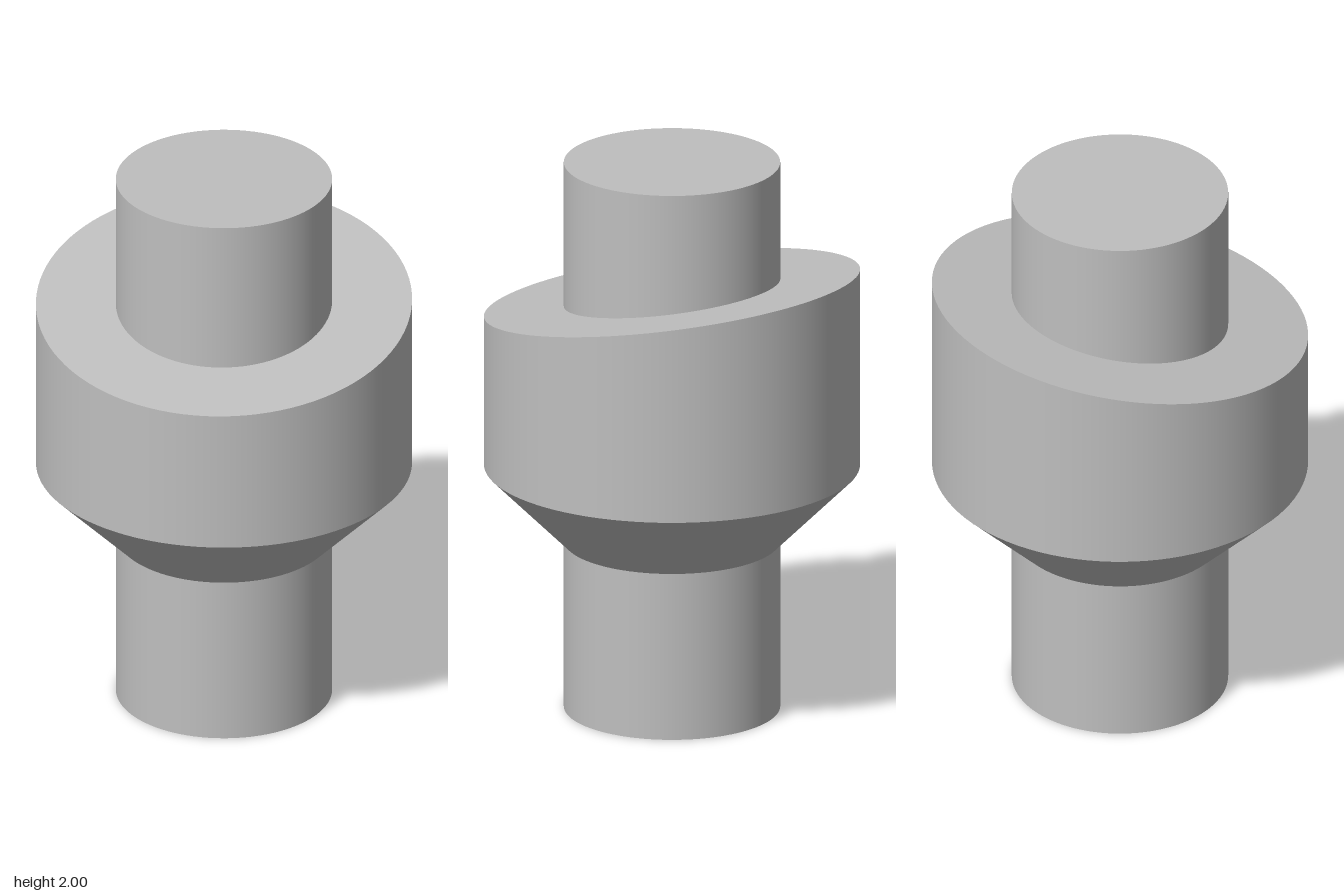
import * as THREE from 'three';

const SEGMENTS = 96;
const SHAFT_R = 0.378, COLLAR_R = 0.657;
const CONE_BOTTOM = 0.61, CONE_TOP = 0.89, HEIGHT = 2;
const SLOPE_MID = 1.52, SLOPE = Math.tan(THREE.MathUtils.degToRad(10));

// Height of the slanted collar face, lower at the front
const slantY = (z) => SLOPE_MID - SLOPE * z;

// Open wall between two rims; each rim height is a function of z
function wall(rBottom, rTop, bottomY, topY) {
  const g = new THREE.CylinderGeometry(rTop, rBottom, CONE_TOP - CONE_BOTTOM, SEGMENTS, 1, true);
  const p = g.attributes.position;
  for (let i = 0; i < p.count; i++) {
    p.setY(i, (p.getY(i) > 0 ? topY : bottomY)(p.getZ(i)));
  }
  return g;
}

export function createModel() {
  const model = new THREE.Group();
  model.name = 'steppedShaft';
  const grey = new THREE.MeshStandardMaterial({ color: 0xbfbfbf });
  grey.name = 'grey';

  const add = (name, geometry) => {
    const mesh = new THREE.Mesh(geometry, grey);
    mesh.name = name;
    model.add(mesh);
  };
  const level = (y) => () => y;

  // Lower shaft with its flat end
  add('lowerShaft', wall(SHAFT_R, SHAFT_R, level(0), level(CONE_BOTTOM)));
  add('lowerShaftEnd', new THREE.CircleGeometry(SHAFT_R, SEGMENTS).rotateX(Math.PI / 2));

  // Cone flaring out to the collar
  add('flare', wall(SHAFT_R, COLLAR_R, level(CONE_BOTTOM), level(CONE_TOP)));

  // Collar cut off by a slanted plane
  add('collar', wall(COLLAR_R, COLLAR_R, level(CONE_TOP), slantY));
  const face = new THREE.RingGeometry(SHAFT_R, COLLAR_R, SEGMENTS).rotateX(-Math.PI / 2);
  const p = face.attributes.position;
  for (let i = 0; i < p.count; i++) p.setY(i, slantY(p.getZ(i)));
  face.computeVertexNormals();
  add('collarSlantedFace', face);

  // Upper shaft rising from the slanted face
  add('upperShaft', wall(SHAFT_R, SHAFT_R, slantY, level(HEIGHT)));
  add('upperShaftEnd', new THREE.CircleGeometry(SHAFT_R, SEGMENTS).rotateX(-Math.PI / 2).translate(0, HEIGHT, 0));

  return model;
}
